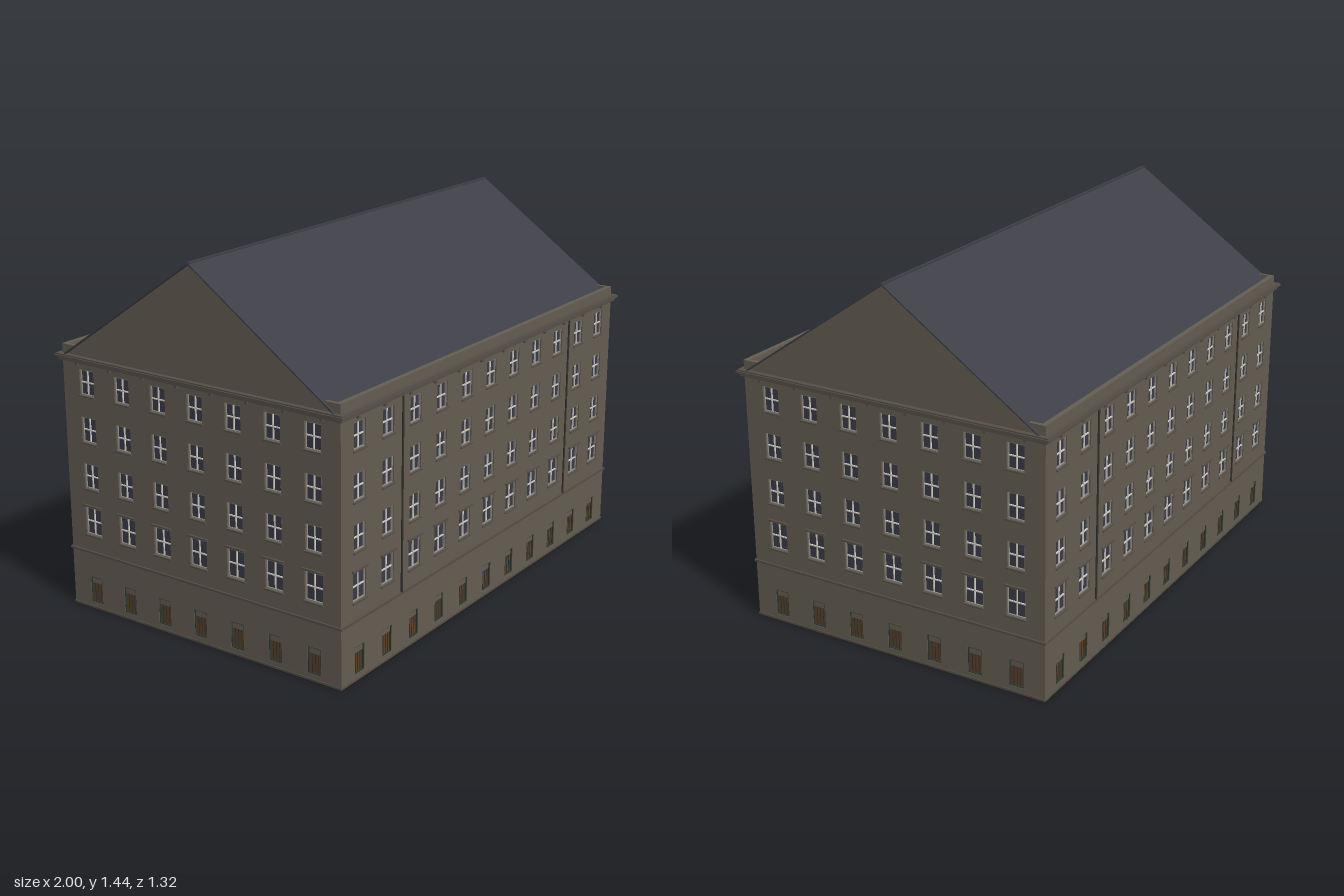
import * as THREE from 'three';
import { mergeGeometries } from 'three/addons/utils/BufferGeometryUtils.js';

const mat = (name, color, side = THREE.FrontSide) => {
  const m = new THREE.MeshStandardMaterial({ color, side });
  m.name = name;
  return m;
};

const HX = 0.975, HZ = 0.635;      // half width and half depth of the walls
const RECESS = 0.014;              // depth of window openings
const STEP = 0.173;                // spacing of window axes
const ROWS = [                     // centre height, width, height
  { y: 0.358, w: 0.078, h: 0.11, hood: true },
  { y: 0.54, w: 0.07, h: 0.1 },
  { y: 0.725, w: 0.07, h: 0.1 },
  { y: 0.91, w: 0.07, h: 0.1 },
];

const box = (w, h, d, x, y, z) => new THREE.BoxGeometry(w, h, d).translate(x, y, z);

export function createModel() {
  const stone = mat('stone wall', 0x655d52);
  const trim = mat('dark stone trim', 0x565047);
  const slate = mat('slate roof', 0x3e3e47);
  const glass = mat('window glass', 0x3b3b47);
  const paint = mat('window bars', 0xd2cfc6);
  const surround = mat('window frame', 0x8f8b82);
  const wood = mat('brown wood', 0x5a4128);
  const green = mat('dark green frame', 0x2c3930);
  const iron = mat('dark iron', 0x35322f);

  const model = new THREE.Group();
  model.name = 'building';
  const add = (parent, name, geo, material) => {
    const mesh = new THREE.Mesh(geo, material);
    mesh.name = name;
    parent.add(mesh);
    return mesh;
  };

  // One facade in its own frame: outer wall surface at z = 0, facing +z
  function facade(name, width, columns, pipes) {
    const g = new THREE.Group();
    g.name = name;
    const wall = new THREE.Shape();
    const hw = width / 2;
    wall.moveTo(-hw, 0).lineTo(hw, 0).lineTo(hw, 1).lineTo(-hw, 1).closePath();
    const bins = { glass: [], bars: [], frame: [], trim: [], wood: [], green: [], iron: [], panel: [] };
    const hole = (x, y, w, h) => {
      const p = new THREE.Path();
      p.moveTo(x - w / 2, y - h / 2).lineTo(x - w / 2, y + h / 2)
        .lineTo(x + w / 2, y + h / 2).lineTo(x + w / 2, y - h / 2).closePath();
      wall.holes.push(p);
    };
    const rim = (bin, x, y, w, h, t, d, z) => {
      for (const s of [-1, 1]) {
        bin.push(box(t, h, d, x + s * (w - t) / 2, y, z));
        bin.push(box(w - 2 * t, t, d, x, y + s * (h - t) / 2, z));
      }
    };
    for (let c = 0; c < columns; c++) {
      const x = (c - (columns - 1) / 2) * STEP;
      // Upper windows
      for (const { y, w, h, hood } of ROWS) {
        hole(x, y, w, h);
        bins.glass.push(box(w, h, 0.003, x, y, -RECESS + 0.002));
        rim(bins.frame, x, y, w, h, 0.004, 0.006, -0.008);
        bins.bars.push(box(0.0045, h - 0.008, 0.005, x, y, -0.008));
        bins.bars.push(box(w - 0.008, 0.0045, 0.005, x, y, -0.008));
        bins.trim.push(box(w + 0.008, 0.006, 0.008, x, y - h / 2 - 0.003, 0.002));
        if (hood) bins.trim.push(box(w + 0.014, 0.007, 0.012, x, y + h / 2 + 0.008, 0.002));
      }
      // Ground floor openings: wooden shutter below a blank panel
      hole(x, 0.077, 0.058, 0.104);
      rim(bins.green, x, 0.077, 0.058, 0.104, 0.003, 0.01, -0.007);
      bins.wood.push(box(0.052, 0.078, 0.004, x, 0.065, -RECESS + 0.003));
      bins.panel.push(box(0.052, 0.024, 0.006, x, 0.115, -RECESS + 0.005));
      for (const s of [-1, 0, 1]) {
        bins.iron.push(box(0.003, 0.076, 0.004, x + s * 0.014, 0.065, -RECESS + 0.005));
      }
    }
    // Small brackets under the cornice
    const count = Math.round(width / 0.16);
    for (let i = 0; i < count; i++) {
      const x = (i - (count - 1) / 2) * 0.16;
      bins.trim.push(box(0.012, 0.012, 0.01, x, 0.98, 0.004));
    }
    // Drainpipes
    for (const x of pipes) {
      const pipe = new THREE.CylinderGeometry(0.004, 0.004, 0.75, 8).translate(x, 0.61, 0.003);
      bins.iron.push(pipe);
    }
    const wallGeo = new THREE.ExtrudeGeometry(wall, { depth: RECESS, bevelEnabled: false });
    add(g, 'wall', wallGeo.translate(0, 0, -RECESS), stone);
    const parts = [
      ['windowGlass', 'glass', glass], ['windowBars', 'bars', paint], ['windowFrames', 'frame', surround],
      ['sillsAndHoods', 'trim', trim], ['shutters', 'wood', wood], ['shutterFrames', 'green', green],
      ['slatsAndPipes', 'iron', iron], ['shutterPanels', 'panel', stone],
    ];
    for (const [label, key, material] of parts) add(g, label, mergeGeometries(bins[key]), material);
    model.add(g);
    return g;
  }

  // Four facades around a solid core
  for (const s of [1, -1]) {
    const long = facade(s > 0 ? 'frontFacade' : 'backFacade', 2 * HX, 11, [-0.605, 0.605]);
    long.position.z = s * HZ;
    if (s < 0) long.rotation.y = Math.PI;
    const short = facade(s > 0 ? 'leftFacade' : 'rightFacade', 2 * (HZ - RECESS), 7, []);
    short.position.x = s * HX;
    short.rotation.y = s * Math.PI / 2;
  }
  const inset = 2 * RECESS;
  add(model, 'core', box(2 * HX - inset, 0.995, 2 * HZ - inset, 0, 0.4985, 0), stone);

  // Horizontal bands running all the way round
  const band = (name, y, h, out, material) =>
    add(model, name, box(2 * (HX + out), h, 2 * (HZ + out), 0, y, 0), material);
  band('plinth', 0.004, 0.008, 0.003, trim);
  band('stringCourse', 0.232, 0.009, 0.006, trim);
  band('corniceLower', 0.99, 0.01, 0.012, trim);
  band('corniceUpper', 1.003, 0.016, 0.018, trim);
  band('corniceEdge', 1.003, 0.006, 0.023, trim);

  // Parapets with short corner returns
  for (const s of [1, -1]) {
    const pieces = [box(2 * HX, 0.037, 0.02, 0, 1.0275, s * (HZ - 0.01))];
    for (const e of [1, -1]) {
      pieces.push(box(0.015, 0.037, 0.045, e * (HX - 0.0075), 1.0275, s * (HZ - 0.0425)));
    }
    add(model, s > 0 ? 'frontParapet' : 'backParapet', mergeGeometries(pieces), stone);
  }

  // Gabled attic
  const RIDGE = 1.432, EAVE = 1.008, RUN = 0.615;
  const along = (shape, length) =>
    new THREE.ExtrudeGeometry(shape, { depth: length, bevelEnabled: false })
      .translate(0, 0, -length / 2).rotateY(Math.PI / 2);
  const gable = new THREE.Shape();
  gable.moveTo(-RUN, EAVE).lineTo(RUN, EAVE).lineTo(0, RIDGE).closePath();
  add(model, 'gables', along(gable, 2 * HX), stone);

  // Thin slate covering with a small overhang at both gables
  const cover = new THREE.Shape();
  const T = 0.006;
  cover.moveTo(-RUN, EAVE).lineTo(0, RIDGE).lineTo(RUN, EAVE)
    .lineTo(RUN, EAVE + T).lineTo(0, RIDGE + T).lineTo(-RUN, EAVE + T).closePath();
  add(model, 'roof', along(cover, 1.976), slate);
  add(model, 'ridgeCap', box(1.976, 0.006, 0.012, 0, RIDGE + 0.005, 0), slate);

  return model;
}
